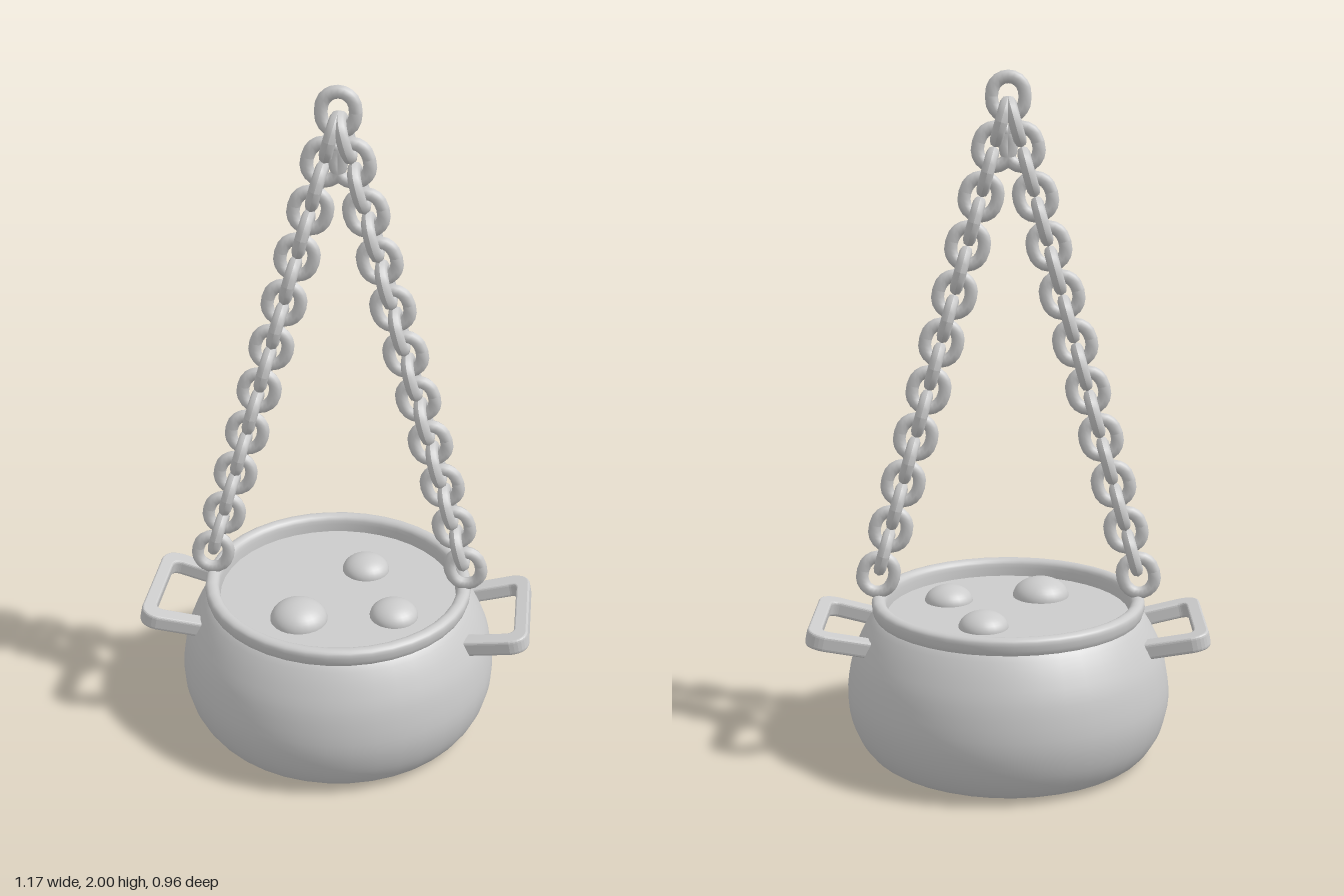
import * as THREE from 'three';

const grey = new THREE.MeshStandardMaterial({ color: 0xcccccc });

function addMesh(parent, name, geometry) {
  const mesh = new THREE.Mesh(geometry, grey);
  mesh.name = name;
  parent.add(mesh);
  return mesh;
}

// Lathe from [radius, height] points, smoothed by a spline
function smoothLathe(points, steps) {
  const curve = new THREE.SplineCurve(points.map(([r, y]) => new THREE.Vector2(r, y)));
  return new THREE.LatheGeometry(curve.getPoints(steps), 40);
}

// Oval chain link lying in the xy plane, long axis along y
function linkGeometry() {
  const g = new THREE.TorusGeometry(0.047, 0.0185, 8, 20);
  const p = g.attributes.position;
  for (let i = 0; i < p.count; i++) {
    p.setY(i, p.getY(i) + 0.008 * Math.tanh(p.getY(i) * 60));
  }
  g.computeVertexNormals();
  return g;
}

// Rounded U-shaped grip seen from above; x points away from the pot
function handleGeometry() {
  const s = new THREE.Shape();
  s.moveTo(0.37, -0.16);
  s.lineTo(0.53, -0.18);
  s.quadraticCurveTo(0.585, -0.178, 0.58, -0.12);
  s.lineTo(0.58, 0.12);
  s.quadraticCurveTo(0.585, 0.178, 0.53, 0.18);
  s.lineTo(0.37, 0.16);
  s.lineTo(0.37, 0.122);
  s.lineTo(0.52, 0.14);
  s.quadraticCurveTo(0.55, 0.14, 0.55, 0.11);
  s.lineTo(0.55, -0.11);
  s.quadraticCurveTo(0.55, -0.14, 0.52, -0.14);
  s.lineTo(0.37, -0.122);
  s.closePath();
  const g = new THREE.ExtrudeGeometry(s, {
    depth: 0.03, bevelEnabled: true, bevelSize: 0.006, bevelThickness: 0.009,
    bevelSegments: 3, curveSegments: 8,
  });
  g.translate(0, 0, -0.015);
  g.rotateX(-Math.PI / 2);
  // rises slightly away from the pot
  g.translate(-0.4, 0, 0);
  g.rotateZ(0.2);
  g.translate(0.403, 0.355, 0);
  return g;
}

export function createModel() {
  const model = new THREE.Group();
  model.name = 'hangingCauldron';

  // Round-bellied pot with a flat base
  addMesh(model, 'potBody', smoothLathe([
    [0.385, 0], [0.425, 0.025], [0.463, 0.09], [0.48, 0.18], [0.466, 0.285],
    [0.437, 0.36], [0.405, 0.415], [0.385, 0.435],
  ], 24));
  const base = addMesh(model, 'potBase', new THREE.CircleGeometry(0.386, 40));
  base.rotation.x = Math.PI / 2;

  // Rounded lip
  addMesh(model, 'rim', smoothLathe([
    [0.39, 0.415], [0.401, 0.43], [0.405, 0.458], [0.397, 0.47], [0.382, 0.473],
    [0.368, 0.466], [0.362, 0.45], [0.36, 0.41],
  ], 16));

  // Liquid surface with bubbles
  const liquid = addMesh(model, 'liquid', new THREE.CircleGeometry(0.365, 40));
  liquid.rotation.x = -Math.PI / 2;
  liquid.position.y = 0.42;
  [[-0.165, 0.09, 0.086, 0.058], [0.13, -0.085, 0.073, 0.048], [0.103, 0.185, 0.073, 0.048]]
    .forEach(([x, z, r, h]) => {
      const bubble = addMesh(model, 'bubble',
        new THREE.SphereGeometry(1, 24, 10, 0, Math.PI * 2, 0, Math.PI / 2));
      bubble.scale.set(r, h, r);
      bubble.position.set(x, 0.419, z);
    });

  // Handles and chains share one diagonal axis
  const rig = new THREE.Group();
  rig.name = 'handlesAndChains';
  rig.rotation.y = -Math.PI / 6;
  model.add(rig);

  const handle = handleGeometry();
  const link = linkGeometry();
  const bottom = new THREE.Vector2(0.385, 0.535);
  const top = new THREE.Vector2(0, 1.926);
  const lean = Math.atan2(bottom.x - top.x, top.y - bottom.y);
  const steps = 20;

  [0, Math.PI].forEach((turn, side) => {
    const half = new THREE.Group();
    half.name = side ? 'rightSide' : 'leftSide';
    half.rotation.y = turn;
    rig.add(half);
    addMesh(half, 'handle', handle);

    // Links alternate between lying in the chain plane and across it
    const chain = new THREE.Group();
    chain.name = 'chain';
    half.add(chain);
    for (let i = 0; i < steps; i++) {
      const holder = new THREE.Group();
      holder.name = 'chainLink';
      const p = bottom.clone().lerp(top, i / steps);
      holder.position.set(p.x, p.y, 0);
      holder.rotation.z = lean;
      chain.add(holder);
      addMesh(holder, 'link', link).rotation.y = (i % 2) * Math.PI / 2;
    }
  });

  // Shared ring where both chains meet
  addMesh(rig, 'topLink', link).position.set(top.x, top.y, 0);

  return model;
}
